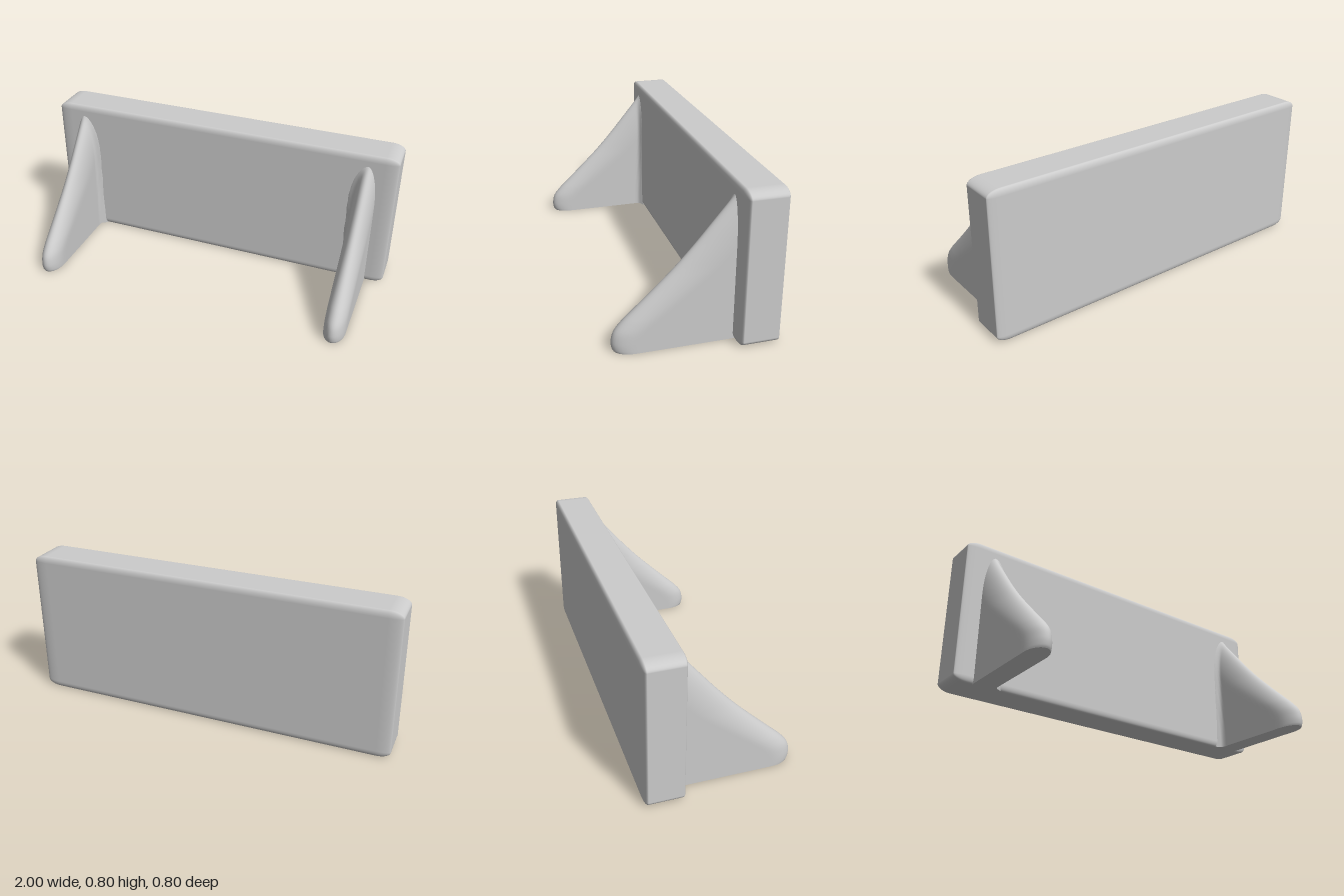
import * as THREE from 'three';
import { RoundedBoxGeometry } from 'three/addons/geometries/RoundedBoxGeometry.js';

const WALL = -0.21; // hidden rear end of the brackets, just inside the panel
const HALF = 0.058; // bracket half thickness
const STEPS = 28;

// Surface through rows of points; flip reverses the winding for mirrored parts
function grid(rows, flip) {
  const cols = rows[0].length, index = [];
  for (let r = 0; r < rows.length - 1; r++) {
    for (let c = 0; c < cols - 1; c++) {
      const a = r * cols + c, b = a + cols;
      if (flip) index.push(a, a + 1, b, a + 1, b + 1, b);
      else index.push(a, b, a + 1, a + 1, b, b + 1);
    }
  }
  const geo = new THREE.BufferGeometry().setFromPoints(rows.flat());
  geo.setIndex(index);
  geo.computeVertexNormals();
  return geo;
}

// Horizontal section of a bracket: rounded nose, parallel sides, small inner fillet
function section(z0, y, side) {
  const depth = z0 - WALL;
  const nose = THREE.MathUtils.lerp(0.1, 0.2, Math.min(1, y / 0.4));
  const outer = [], inner = [];
  for (let i = 0; i <= STEPS; i++) {
    const d = depth * (1 - Math.cos(Math.PI * i / STEPS)) / 2;
    const t = 1 - Math.min(1, d / nose);
    const w = HALF * Math.sqrt(1 - t * t);
    const z = z0 - d;
    const flare = 0.035 * Math.min(1, Math.max(0, (-0.168 - z) / 0.024) ** 2) * w / HALF;
    outer.push(new THREE.Vector3(side * (0.84 + w), y, z));
    inner.push(new THREE.Vector3(side * (0.84 - w - flare), y, z));
  }
  return { outer, inner };
}

export function createModel() {
  const model = new THREE.Group();
  const material = new THREE.MeshStandardMaterial({ color: 0xcccccc });
  const add = (geo, name, parent = model) => {
    const mesh = new THREE.Mesh(geo, material);
    mesh.name = name;
    parent.add(mesh);
    return mesh;
  };

  // Upright panel, its rounding stretched lengthwise
  const [sx, sy, sz] = [2.5, 1.2, 0.6];
  const panel = new RoundedBoxGeometry(2 / sx, 0.8 / sy, 0.21 / sz, 6, 0.03);
  panel.scale(sx, sy, sz);
  add(panel, 'panel').position.set(0, 0.4, -0.295);

  // Sloping front edge of the brackets, as (z, y)
  const edge = new THREE.SplineCurve([
    [0.39, 0], [0.397, 0.015], [0.4, 0.05], [0.387, 0.1], [0.347, 0.15], [0.295, 0.2],
    [0.19, 0.3], [0.09, 0.4], [0, 0.5], [-0.083, 0.6], [-0.165, 0.7], [-0.19, 0.735], [-0.205, 0.76],
  ].map(p => new THREE.Vector2(...p))).getPoints(48);

  for (const side of [1, -1]) {
    const bracket = new THREE.Group();
    bracket.name = side > 0 ? 'leftBracket' : 'rightBracket';
    const sections = edge.map(p => section(p.x, p.y, side));
    const rows = sections.map(s => [...s.outer].reverse().concat(s.inner.slice(1)));
    add(grid(rows, side < 0), 'bracketSides', bracket);

    // Flat underside, from wall to nose
    const { outer, inner } = sections[0];
    add(grid([[...inner].reverse(), [...outer].reverse()], side < 0), 'bracketBase', bracket);
    model.add(bracket);
  }
  return model;
}
